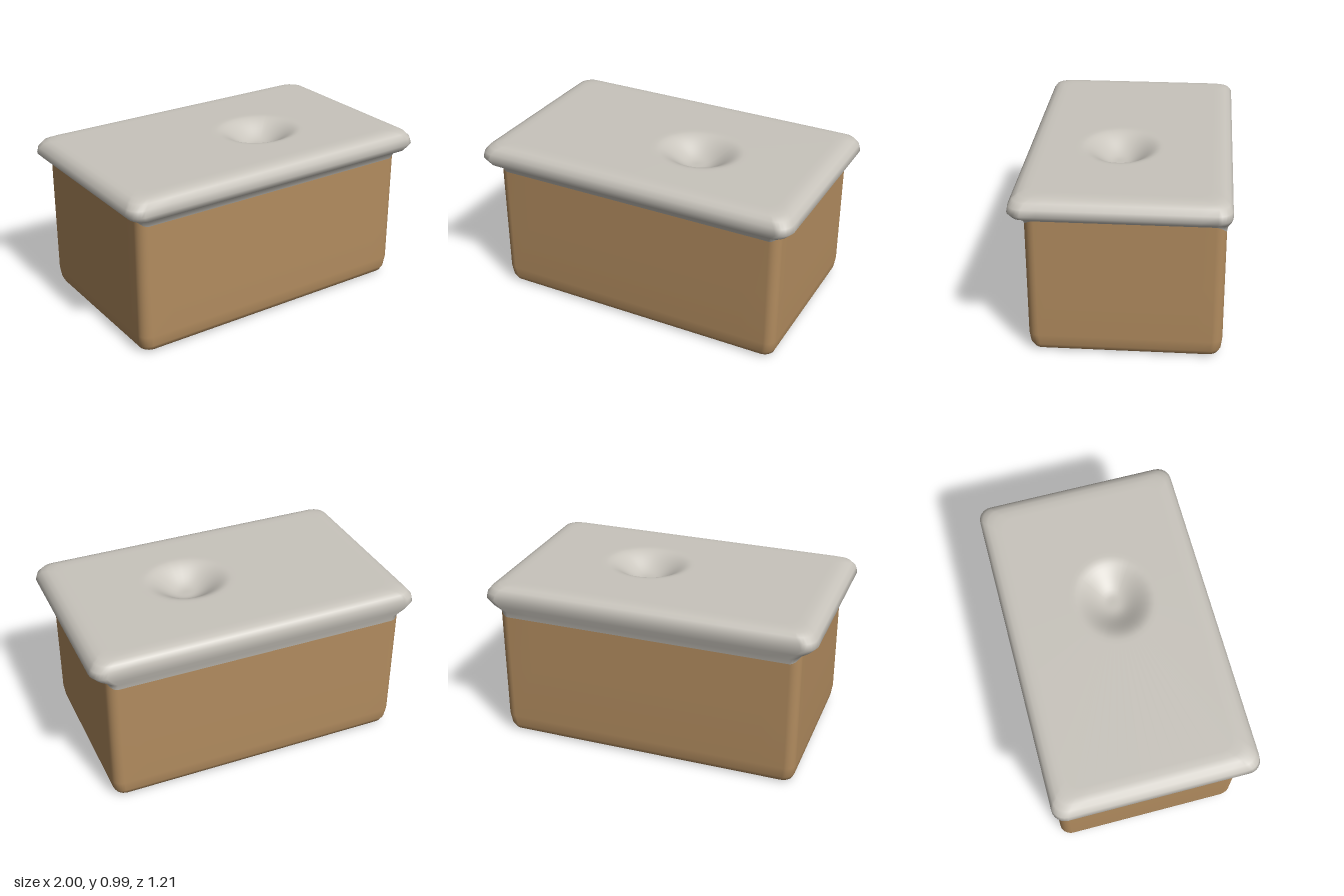
import * as THREE from 'three';

const CORNER = 6, EDGE = 12;
const basin = { x: 0.2, z: 0.05, rx: 0.27, rz: 0.24 };

// Rounded rectangle ring; the height may differ on the sides, front and back.
function rectRing([hx, zBack, zFront, r, ySide, yFront = ySide, yBack = ySide]) {
  const corners = [[hx - r, zFront - r], [r - hx, zFront - r], [r - hx, zBack + r], [hx - r, zBack + r]];
  const arcs = corners.map(([cx, cz], q) => {
    const arc = [];
    for (let i = 0; i <= CORNER; i++) {
      const a = (q + i / CORNER) * Math.PI / 2, s = Math.sin(a);
      const y = THREE.MathUtils.lerp(ySide, s > 0 ? yFront : yBack, s * s);
      arc.push(new THREE.Vector3(cx + r * Math.cos(a), y, cz + r * s));
    }
    return arc;
  });
  // Join the corners with evenly divided straight edges
  return arcs.flatMap((arc, q) => {
    const from = arc[CORNER], to = arcs[(q + 1) % 4][0];
    const edge = [];
    for (let i = 1; i < EDGE; i++) edge.push(from.clone().lerp(to, i / EDGE));
    return [...arc, ...edge];
  });
}

// Elliptical ring around the basin, aligned with the points of an outer ring
function basinRing(outer, scale, y) {
  return outer.map((p) => {
    const a = Math.atan2((p.z - basin.z) / basin.rz, (p.x - basin.x) / basin.rx);
    return new THREE.Vector3(
      basin.x + scale * basin.rx * Math.cos(a), y, basin.z + scale * basin.rz * Math.sin(a));
  });
}

// Smooth skin over a stack of rings
function loft(rings) {
  const n = rings[0].length, index = [];
  for (let j = 0; j < rings.length - 1; j++) {
    for (let i = 0; i < n; i++) {
      const a = j * n + i, b = j * n + (i + 1) % n;
      index.push(a, a + n, b, b, a + n, b + n);
    }
  }
  const geometry = new THREE.BufferGeometry().setFromPoints(rings.flat());
  geometry.setIndex(index);
  geometry.computeVertexNormals();
  return geometry;
}

export function createModel() {
  const wood = new THREE.MeshStandardMaterial({ color: 0xb28c5f });
  wood.name = 'warm brown';
  const stone = new THREE.MeshStandardMaterial({ color: 0xc8c4bc });
  stone.name = 'pale grey';

  const group = new THREE.Group();
  group.name = 'basinCounter';
  const seam = [0.915, -0.575, 0.525, 0.06, 0.835, 0.8, 0.79];

  // Cabinet: closed underside, softened lower edge, straight walls
  const cabinetRings = [
    [0.001, -0.026, -0.024, 0.0005, 0],
    [0.82, -0.48, 0.43, 0.04, 0],
    [0.865, -0.525, 0.475, 0.05, 0.004],
    [0.893, -0.555, 0.505, 0.06, 0.016],
    [0.906, -0.568, 0.518, 0.06, 0.045],
    [0.915, -0.575, 0.525, 0.06, 0.11],
    [0.915, -0.575, 0.525, 0.06, 0.45],
    [0.915, -0.575, 0.525, 0.06, 0.76],
    seam,
  ].map(rectRing);
  const cabinet = new THREE.Mesh(loft(cabinetRings), wood);
  cabinet.name = 'cabinet';
  group.add(cabinet);

  // Countertop: flared underside, rounded rim, flat top
  const topRings = [
    seam,
    [0.925, -0.583, 0.545, 0.07, 0.85, 0.845, 0.825],
    [0.97, -0.597, 0.588, 0.08, 0.868, 0.862, 0.862],
    [1, -0.605, 0.605, 0.08, 0.9],
    [0.99, -0.604, 0.599, 0.08, 0.937],
    [0.965, -0.588, 0.58, 0.08, 0.966],
    [0.935, -0.562, 0.552, 0.08, 0.979],
    [0.9, -0.53, 0.52, 0.08, 0.985],
    [0.86, -0.49, 0.48, 0.08, 0.985],
  ].map(rectRing);

  // Basin: a soft hollow continuing from the flat top
  const inner = topRings[topRings.length - 1];
  topRings.push(basinRing(inner, 1.1, 0.985));
  const steps = 12;
  for (let i = 0; i <= steps; i++) {
    const t = Math.max(1 - i / steps, 0.002);
    const depth = 0.1 * (1 - THREE.MathUtils.smoothstep(t, 0.15, 1));
    topRings.push(basinRing(inner, t, 0.985 - depth));
  }
  const countertop = new THREE.Mesh(loft(topRings), stone);
  countertop.name = 'countertop';
  group.add(countertop);

  return group;
}
